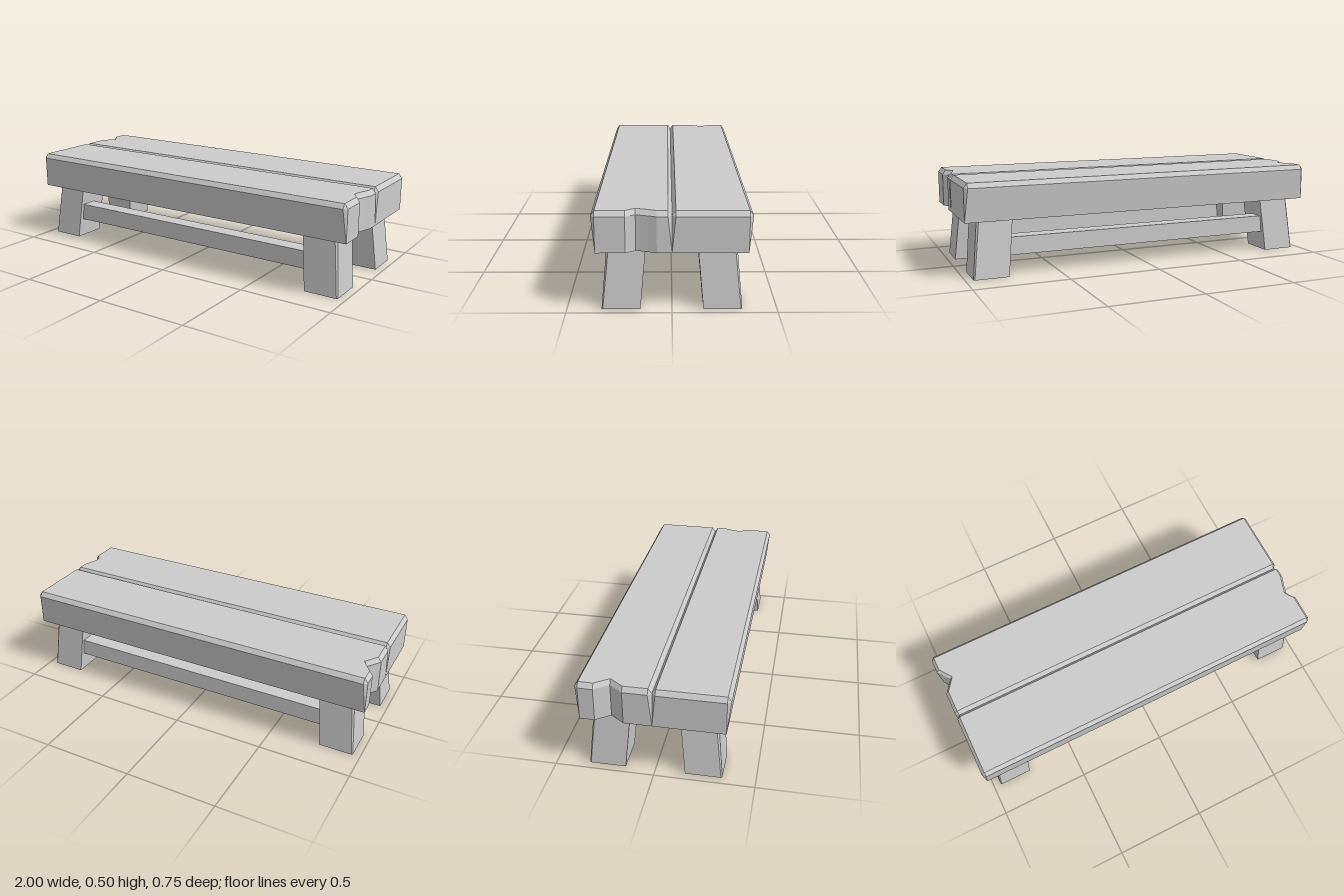
import * as THREE from 'three';

const material = new THREE.MeshStandardMaterial({ color: 0xcccccc, flatShading: true });

// Solid through stacked [x, z] outlines, listed bottom to top, with equal point counts
function loft(levels) {
  const pos = [], idx = [], n = levels[0].pts.length;
  for (const { y, pts } of levels) for (const [x, z] of pts) pos.push(x, y, z);
  for (let l = 0; l < levels.length - 1; l++) {
    for (let i = 0; i < n; i++) {
      const a = l * n + i, b = l * n + (i + 1) % n;
      idx.push(a, a + n, b, b, a + n, b + n);
    }
  }
  const cap = (l, up) => {
    const pts = levels[l].pts.map(([x, z]) => new THREE.Vector2(x, z));
    for (const [a, b, c] of THREE.ShapeUtils.triangulateShape(pts, [])) {
      const [p, q, r] = [pts[a], pts[b], pts[c]];
      const area = (q.x - p.x) * (r.y - p.y) - (q.y - p.y) * (r.x - p.x);
      // Counter-clockwise in (x, z) faces downwards
      const flip = (area > 0) === up;
      idx.push(l * n + a, l * n + (flip ? c : b), l * n + (flip ? b : c));
    }
  };
  cap(0, false);
  cap(levels.length - 1, true);
  const g = new THREE.BufferGeometry();
  g.setAttribute('position', new THREE.Float32BufferAttribute(pos, 3));
  g.setIndex(idx);
  const flat = g.toNonIndexed();
  flat.computeVertexNormals();
  return flat;
}

// Plank with bevelled top, corner chamfers fading towards the bottom and a notch at +x
function plankGeometry(notch) {
  const W = 0.373, b = 0.018;
  const outline = (corners, inset) => {
    const [outA, outB, inA, inB] = corners;
    return [
      inB, inA,
      ...notch.map(([x, z]) => [x - inset, z]),
      outB, outA,
      [-outA[0], outA[1]], [-outB[0], outB[1]],
      [-inA[0], inA[1]], [-inB[0], inB[1]],
    ];
  };
  const e = 1 - b, w = W - b;
  return loft([
    { y: 0.3, pts: outline([[1, w], [1, w], [1, 0], [1, 0]], 0) },
    { y: 0.475, pts: outline([[e, W], [1, w], [1, b], [e, 0]], 0) },
    { y: 0.5, pts: outline([[e - 0.0005, w], [e, w - 0.0005], [e, b + 0.0005], [e - 0.0005, b]], b) },
  ]);
}

// Splayed square leg with a narrow chamfer on its outer corner; sx, sz pick the quadrant
function legGeometry(sx, sz) {
  const section = (x, z, c) => {
    const s = 0.185;
    const pts = [[x - s, z - s], [x, z - s], [x, z - c], [x - c, z], [x - s, z]]
      .map(([px, pz]) => [px * sx, pz * sz]);
    return sx * sz < 0 ? pts.reverse() : pts;
  };
  return loft([
    { y: 0, pts: section(0.96, 0.335, 0.006) },
    { y: 0.302, pts: section(0.93, 0.308, 0.01) },
  ]);
}

export function createModel() {
  const group = new THREE.Group();
  const add = (name, geometry) => {
    const mesh = new THREE.Mesh(geometry, material);
    mesh.name = name;
    group.add(mesh);
    return mesh;
  };

  // Seat planks, the back one turned half round so its notch is at the other end
  add('frontPlank', plankGeometry([[1, 0.07], [0.985, 0.11], [0.968, 0.168], [0.982, 0.192], [1, 0.215]]));
  add('backPlank', plankGeometry([[1, 0.14], [0.975, 0.175], [0.95, 0.21], [0.975, 0.245], [1, 0.28]]))
    .rotation.y = Math.PI;

  // Legs and the long rails between them
  for (const sz of [1, -1]) {
    const side = sz > 0 ? 'front' : 'back';
    for (const sx of [1, -1]) add(side + (sx > 0 ? 'Left' : 'Right') + 'Leg', legGeometry(sx, sz));
    add(side + 'Rail', new THREE.BoxGeometry(1.6, 0.095, 0.09)).position.set(0, 0.153, sz * 0.255);
  }
  return group;
}
